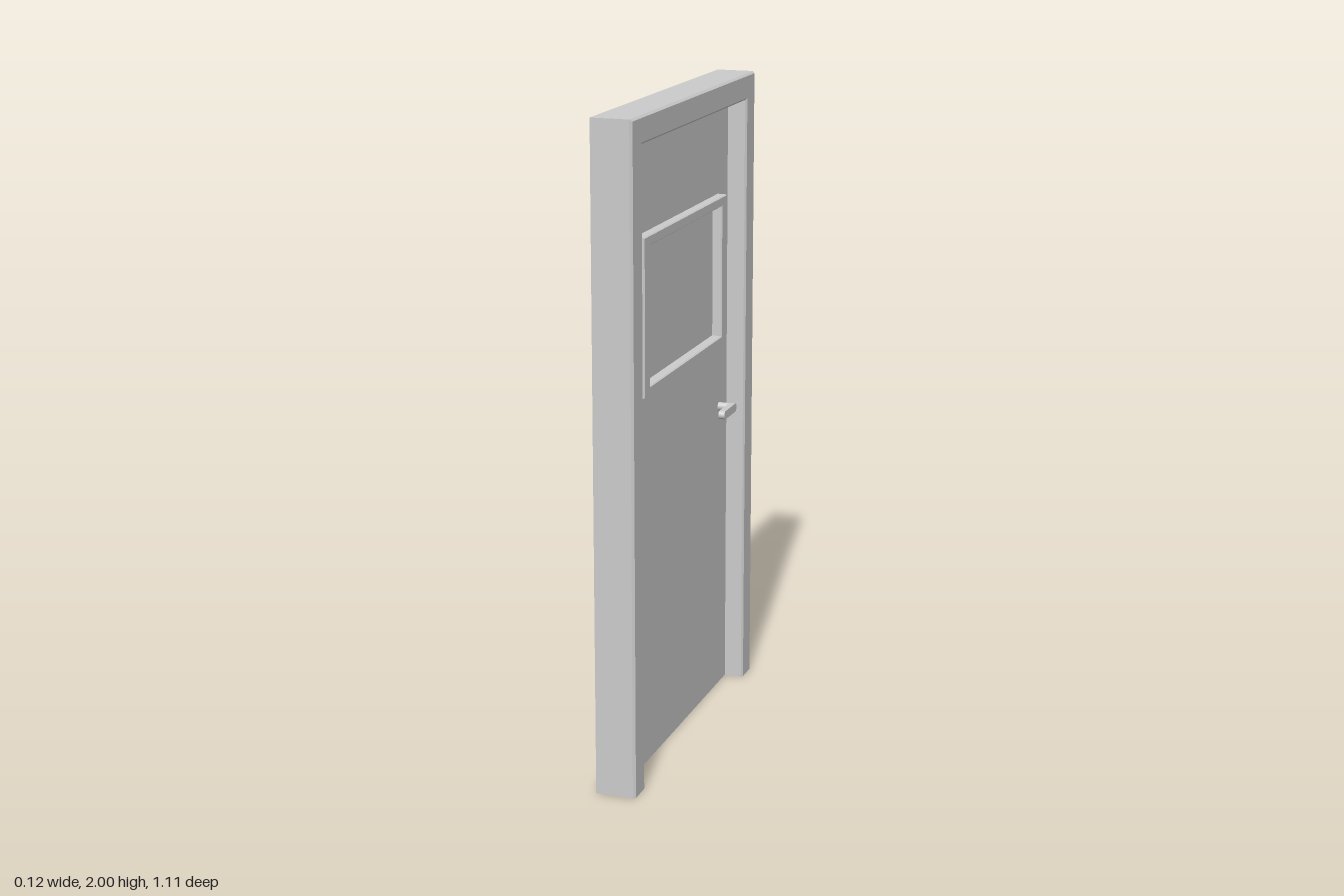
import * as THREE from 'three';

const material = new THREE.MeshStandardMaterial({ color: 0xcccccc, side: THREE.DoubleSide });

function part(name, geometry) {
  const mesh = new THREE.Mesh(geometry, material);
  mesh.name = name;
  return mesh;
}

// Folded sheet: steps [x, half width, bottom, top] joined around the rectangle's sides
function foldedSheet(steps, closed) {
  const corners = ([x, w, y0, y1]) => [[x, y0, w], [x, y1, w], [x, y1, -w], [x, y0, -w]];
  const positions = [];
  for (let j = 0; j < steps.length - 1; j++) {
    const a = corners(steps[j]);
    const b = corners(steps[j + 1]);
    for (let k = 0; k < (closed ? 4 : 3); k++) {
      const n = (k + 1) % 4;
      positions.push(...a[k], ...b[k], ...b[n], ...a[k], ...b[n], ...a[n]);
    }
  }
  const g = new THREE.BufferGeometry();
  g.setAttribute('position', new THREE.Float32BufferAttribute(positions, 3));
  g.computeVertexNormals();
  return g;
}

function rectangle(PathType, w, y0, y1) {
  const p = new PathType();
  p.moveTo(-w, y0).lineTo(w, y0).lineTo(w, y1).lineTo(-w, y1).closePath();
  return p;
}

export function createModel() {
  const door = new THREE.Group();
  door.name = 'door';
  const handleY = 0.947, handleZ = -0.395, r = 0.0135;

  // Frame: hollow at the back, folded from outer wall over the face to the jamb
  door.add(part('doorFrame', foldedSheet([
    [-0.0615, 0.555, 0, 2],
    [0.054, 0.555, 0, 2],
    [0.0615, 0.549, 0, 1.994],
    [0.0615, 0.478, 0, 1.926],
    [0.056, 0.472, 0, 1.92],
    [0, 0.472, 0, 1.92],
  ], false)));

  // Leaf with openings for the window and the handle shaft
  const leaf = rectangle(THREE.Shape, 0.472, 0, 1.92);
  const shaftHole = new THREE.Path();
  shaftHole.absarc(-handleZ, handleY, r, 0, Math.PI * 2, true);
  leaf.holes.push(rectangle(THREE.Path, 0.374, 1.167, 1.638), shaftHole);
  door.add(part('doorLeaf', new THREE.ShapeGeometry(leaf, 8).rotateY(Math.PI / 2)));

  // Window: raised border, hollow behind, around a flat pane
  door.add(part('windowBorder', foldedSheet([
    [0, 0.374, 1.167, 1.638],
    [0.026, 0.374, 1.167, 1.638],
    [0.03, 0.371, 1.17, 1.635],
    [0.03, 0.33, 1.191, 1.61],
    [0.026, 0.327, 1.194, 1.607],
    [0, 0.325, 1.196, 1.605],
  ], true)));
  const pane = rectangle(THREE.Shape, 0.325, 1.196, 1.605);
  door.add(part('windowPane', new THREE.ShapeGeometry(pane).rotateY(Math.PI / 2)));

  // Handle: shaft and round-ended lever
  const handle = new THREE.Group();
  handle.name = 'handle';
  const shaft = new THREE.CylinderGeometry(r, r, 0.04, 16, 1, true).rotateZ(Math.PI / 2);
  shaft.translate(0.02, handleY, handleZ);
  const lever = new THREE.Shape();
  lever.absarc(-handleZ, handleY, r, -Math.PI / 2, Math.PI / 2, false);
  lever.absarc(0.298, handleY, r, Math.PI / 2, Math.PI * 1.5, false);
  lever.closePath();
  const leverGeometry = new THREE.ExtrudeGeometry(lever, { depth: 0.02, bevelEnabled: false, curveSegments: 8 });
  leverGeometry.rotateY(Math.PI / 2).translate(0.035, 0, 0);
  handle.add(part('handleShaft', shaft), part('handleLever', leverGeometry));
  door.add(handle);

  return door;
}
